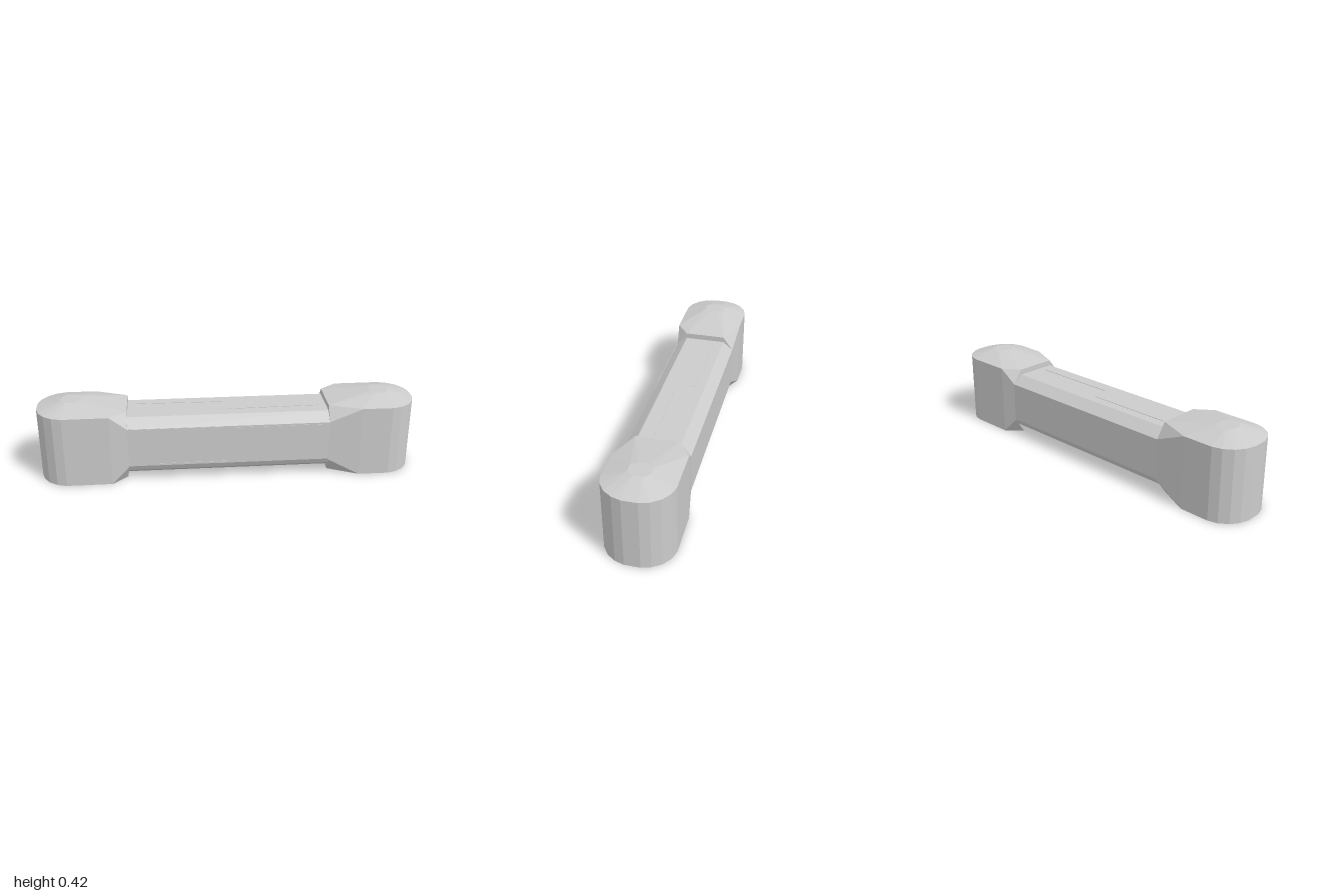
import * as THREE from 'three';
import { ConvexGeometry } from 'three/addons/geometries/ConvexGeometry.js';

const material = new THREE.MeshStandardMaterial({ color: 0xcccccc, flatShading: true });

function addMesh(parent, name, geometry) {
  const mesh = new THREE.Mesh(geometry, material);
  mesh.name = name;
  parent.add(mesh);
  return mesh;
}

// Convex end block for the -x end: rounded outline, low faceted roof, tapered neck
function podGeometry() {
  const points = [];
  const add = (x, y, z) => points.push(new THREE.Vector3(x, y, z));
  const nose = [[-1, 0.04], [-0.985, 0.088], [-0.955, 0.132], [-0.91, 0.164], [-0.86, 0.178]];
  for (const side of [1, -1]) {
    const shoulderX = side > 0 ? -0.62 : -0.7;
    for (const [x, z] of [...nose, [shoulderX, 0.177]]) {
      add(x, 0, z * side);
      add(x, 0.385, z * side);
    }
    // neck section where the block meets the bar
    add(-0.54, 0, 0.1 * side);
    add(-0.53, 0.09, 0.165 * side);
    add(-0.53, 0.31, 0.165 * side);
    add(-0.53, 0.385, 0.11 * side);
    // small flat on top of the roof
    add(-0.87, 0.423, 0.025 * side);
    add(-0.845, 0.423, 0.055 * side);
    add(-0.795, 0.423, 0.055 * side);
    add(-0.77, 0.423, 0.025 * side);
  }
  return new ConvexGeometry(points);
}

// Bar with bevelled long edges, extruded along x
function barGeometry() {
  const half = [[0.105, 0.034], [0.15, 0.065], [0.165, 0.095], [0.165, 0.31], [0.11, 0.355]];
  const outline = [...half, ...half.map(([z, y]) => [-z, y]).reverse()];
  const shape = new THREE.Shape(outline.map(([z, y]) => new THREE.Vector2(z, y)));
  const geometry = new THREE.ExtrudeGeometry(shape, { depth: 1.1, bevelEnabled: false });
  geometry.translate(0, 0, -0.55);
  geometry.rotateY(Math.PI / 2);
  return geometry;
}

// Thin seam that tapers from width w at x = 0 to a fine tip
function seamGeometry(tipX, w, lift) {
  const sign = Math.sign(tipX);
  const shape = new THREE.Shape([
    new THREE.Vector2(0, -w / 2), new THREE.Vector2(0, w / 2),
    new THREE.Vector2(tipX, w / 2), new THREE.Vector2(tipX, w / 2 - 0.003),
  ]);
  const geometry = new THREE.ExtrudeGeometry(shape, { depth: lift * 2, bevelEnabled: false });
  geometry.translate(0.01 * sign, 0, -lift);
  return geometry;
}

export function createModel() {
  const group = new THREE.Group();
  group.name = 'linkArm';

  addMesh(group, 'bar', barGeometry());

  // the second end is the first turned half around
  addMesh(group, 'rightEnd', podGeometry());
  addMesh(group, 'leftEnd', podGeometry()).rotation.y = Math.PI;

  // seams on the top face
  for (const [tip, z] of [[-0.47, -0.052], [0.48, 0.043]]) {
    const seam = addMesh(group, 'topSeam', seamGeometry(tip, 0.012, 0.002));
    seam.rotation.x = -Math.PI / 2;
    seam.position.set(0, 0.355, z);
  }

  // seams along the front face
  for (const [tip, y, w] of [[-0.53, 0.303, 0.012], [0.53, 0.299, 0.005], [-0.4, 0.101, 0.012]]) {
    addMesh(group, 'frontSeam', seamGeometry(tip, w, 0.002)).position.set(0, y, 0.165);
  }

  return group;
}
